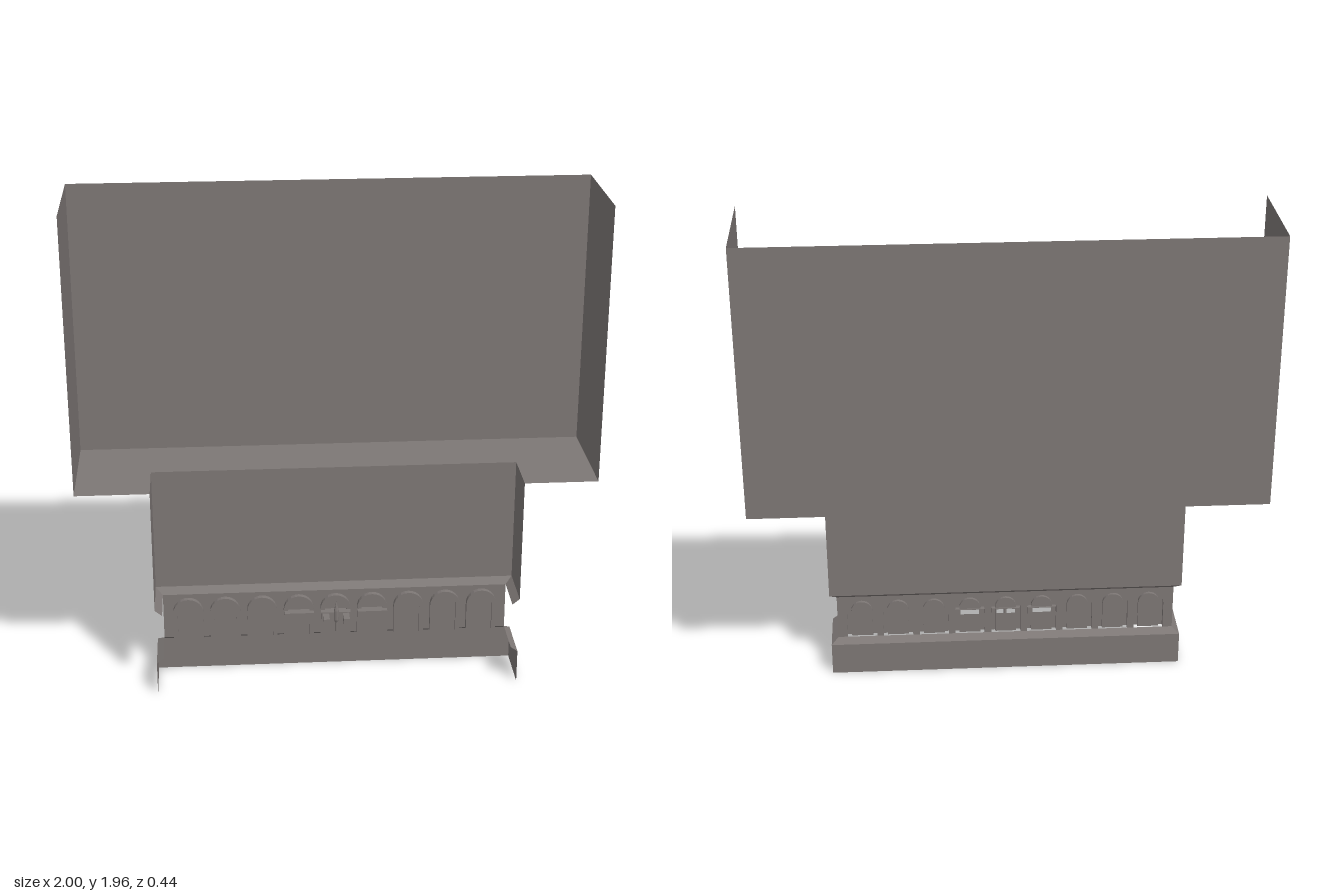
import * as THREE from 'three';

const stone = new THREE.MeshStandardMaterial({ color: 0x7d7775, side: THREE.DoubleSide });
stone.name = 'warm grey stone';

const SILL = 0.155, HEAD = 0.345, WALL_Z = 0.047, WALL_X = 0.687, PITCH = 0.147;

function add(parent, name, geometry, x = 0, y = 0, z = 0) {
  const mesh = new THREE.Mesh(geometry, stone);
  mesh.name = name;
  mesh.position.set(x, y, z);
  parent.add(mesh);
  return mesh;
}

// Faceted sheet joining successive rows of points
function loft(rows) {
  const pos = [];
  for (let r = 0; r + 1 < rows.length; r++) {
    for (let i = 0; i + 1 < rows[r].length; i++) {
      const a = rows[r][i], b = rows[r][i + 1], c = rows[r + 1][i + 1], d = rows[r + 1][i];
      pos.push(...a, ...b, ...c, ...a, ...c, ...d);
    }
  }
  const g = new THREE.BufferGeometry();
  g.setAttribute('position', new THREE.Float32BufferAttribute(pos, 3));
  g.computeVertexNormals();
  return g;
}

// U-shaped plan, open to the front
const uRow = ([hw, y, back]) => [[-hw, y, 0.222], [-hw, y, back], [hw, y, back], [hw, y, 0.222]];

// Round-headed outline from the left foot over the crown to the right foot
function archPoints(hw, spring = 0.27, x = 0) {
  const pts = [new THREE.Vector2(x - hw, SILL)];
  for (let i = 0; i <= 12; i++) {
    const a = Math.PI * (1 - i / 12);
    pts.push(new THREE.Vector2(x + hw * Math.cos(a), spring + hw * Math.sin(a)));
  }
  pts.push(new THREE.Vector2(x + hw, SILL));
  return pts;
}

function rectPoints(hw, y0, y1) {
  return [[-hw, y0], [hw, y0], [hw, y1], [-hw, y1]].map(p => new THREE.Vector2(...p));
}

// Blind arch: raised frame around a shallow panel
function blindArch(withSlot) {
  const g = new THREE.Group();
  const at = (hw, z) => archPoints(hw).map(p => [p.x, p.y, z]);
  add(g, 'archFrame', loft([at(0.06, WALL_Z), at(0.06, 0.067), at(0.043, 0.067), at(0.043, 0.055)]));
  const panel = new THREE.Shape(archPoints(0.043));
  if (withSlot) panel.holes.push(new THREE.Path(rectPoints(0.038, 0.24, 0.264)));
  add(g, 'archPanel', new THREE.ShapeGeometry(panel), 0, 0, 0.055);
  return g;
}

// Ledge with an open back and underside
function ledge() {
  const g = new THREE.Group();
  const w = 0.059, y0 = 0.238, y1 = 0.266, z0 = 0.05, z1 = 0.09;
  const row = y => [[-w, y, z0], [-w, y, z1], [w, y, z1], [w, y, z0]];
  add(g, 'ledgeSkirt', loft([row(y0), row(y1)]));
  add(g, 'ledgeTop', loft([[[-w, y1, z1], [w, y1, z1]], [[-w, y1, z0], [w, y1, z0]]]));
  return g;
}

export function createModel() {
  const model = new THREE.Group();
  model.name = 'arcadedNiche';

  // Plinth and upper shell, flaring back in steps
  add(model, 'plinth', loft([[0.715, 0, 0.018], [0.715, 0.135, 0.018], [WALL_X, SILL, WALL_Z]].map(uRow)));
  add(model, 'upperShell', loft([
    [WALL_X, HEAD, WALL_Z], [0.715, 0.368, 0.018], [0.715, 0.867, 0.018],
    [1, 0.867, -0.222], [1, 1.955, -0.222],
  ].map(uRow)));

  // Arcade wall, its lower edge notched by the arches
  const outline = [new THREE.Vector2(-WALL_X, SILL)];
  for (let i = -4; i <= 4; i++) outline.push(...archPoints(0.06, 0.27, i * PITCH));
  outline.push(new THREE.Vector2(WALL_X, SILL), new THREE.Vector2(WALL_X, HEAD), new THREE.Vector2(-WALL_X, HEAD));
  add(model, 'arcadeWall', new THREE.ShapeGeometry(new THREE.Shape(outline)), 0, 0, WALL_Z);

  // Nine arches, the middle three with ledges
  for (let i = -4; i <= 4; i++) {
    const middle = Math.abs(i) <= 1;
    const arch = blindArch(middle);
    arch.name = 'arch' + (i + 5);
    arch.position.x = i * PITCH;
    if (middle) {
      const shelf = ledge();
      shelf.name = 'ledge';
      arch.add(shelf);
    }
    model.add(arch);
  }

  // Centre prongs and pointed finial
  for (const s of [-1, 1]) {
    add(model, 'prong', new THREE.BoxGeometry(0.025, 0.024, 0.055), s * 0.04, 0.25, 0.115);
  }
  add(model, 'finialArm', new THREE.BoxGeometry(0.012, 0.014, 0.025), 0, 0.25, 0.1);
  const profile = [[0, 0.195], [0.006, 0.195], [0.006, 0.235], [0.01, 0.245], [0.01, 0.285], [0, 0.327]];
  const finial = new THREE.LatheGeometry(profile.map(p => new THREE.Vector2(...p)), 8).toNonIndexed();
  finial.computeVertexNormals();
  add(model, 'finial', finial, 0, 0, 0.111);

  return model;
}
